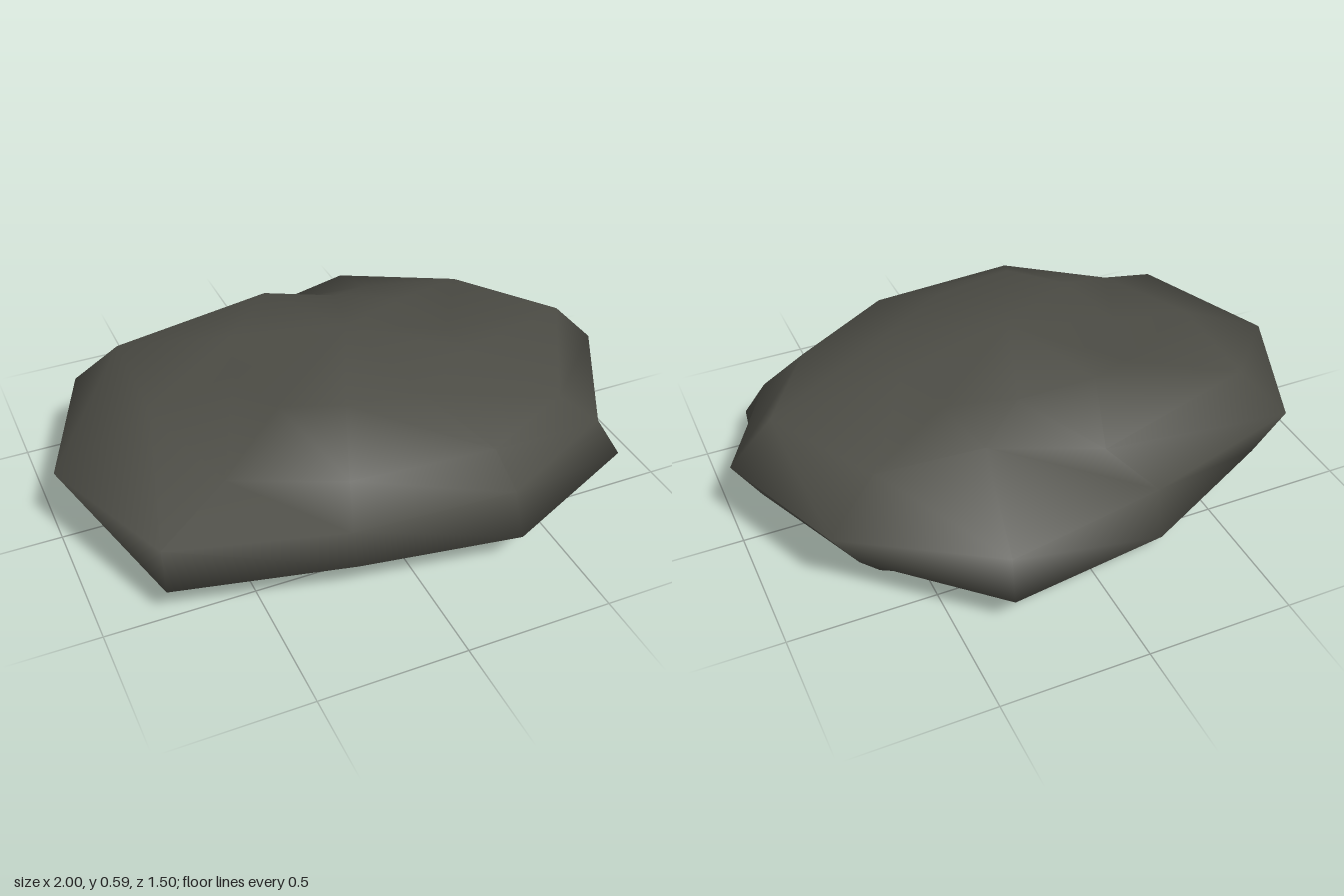
import * as THREE from 'three';

const stone = new THREE.MeshStandardMaterial({ color: 0x4c4c45 });
stone.name = 'darkStone';

// Widest outline of the boulder seen from above, anticlockwise: [x, z]
const outline = [
  [1, 0.03], [0.81, -0.43], [0.34, -0.735], [-0.23, -0.62], [-0.8, -0.46],
  [-1, 0.03], [-0.8, 0.52], [-0.24, 0.675], [0.31, 0.705], [0.79, 0.48],
];

// Rings from top to bottom: height, scale in x and z, shift in x
const rings = [
  { y: 0.495, sx: 0.4, sz: 0.45, dx: 0.02 },
  { y: 0.45, sx: 0.77, sz: 0.82, dx: 0.08 },
  { y: 0.295, sx: 1, sz: 1, dx: 0 },
  { y: 0.15, sx: 0.91, sz: 1, dx: 0 },
  { y: 0.015, sx: 0.74, sz: 0.75, dx: 0.02 },
];

// Local dents and bulges, keyed by 'ring,side': [x, y, z]
const dents = {
  '0,0': [0.4, 0.485, 0.03],
  '0,2': [0.12, 0.512, -0.28],
  '0,3': [-0.13, 0.555, -0.33],
  '0,6': [-0.32, 0.52, 0.27],
  '0,7': [-0.14, 0.55, 0.39],
  '0,8': [0.13, 0.52, 0.39],
  '0,9': [0.39, 0.52, 0.22],
  '1,1': [0.63, 0.425, -0.34],
  '1,2': [0.28, 0.45, -0.39],
  '1,3': [-0.09, 0.4, -0.495],
  '1,4': [-0.66, 0.45, -0.37],
  '1,5': [-0.67, 0.45, 0.03],
  '1,6': [-0.55, 0.405, 0.41],
  '1,7': [-0.22, 0.435, 0.6],
  '1,8': [0.28, 0.405, 0.61],
  '1,9': [0.63, 0.385, 0.42],
  '2,3': [-0.23, 0.27, -0.61],
  '2,9': [0.77, 0.27, 0.46],
  '3,1': [0.72, 0.15, -0.41],
  '3,2': [0.34, 0.135, -0.755],
  '3,3': [-0.24, 0.08, -0.63],
  '3,4': [-0.71, 0.13, -0.42],
  '3,6': [-0.795, 0.13, 0.525],
  '3,8': [0.32, 0.14, 0.75],
  '3,9': [0.84, 0.14, 0.505],
  '4,1': [0.63, 0, -0.32],
  '4,2': [0.26, 0.01, -0.54],
  '4,3': [-0.2, 0.015, -0.52],
  '4,4': [-0.62, 0, -0.34],
  '4,6': [-0.63, 0, 0.4],
  '4,7': [-0.18, 0.035, 0.53],
  '4,8': [0.24, 0.04, 0.54],
  '4,9': [0.63, 0, 0.4],
};

function boulderGeometry() {
  const n = outline.length;
  const pos = [0.02, 0.59, 0.03]; // top point
  rings.forEach(({ y, sx, sz, dx }, r) => {
    outline.forEach(([x, z], i) => pos.push(...(dents[`${r},${i}`] ?? [x * sx + dx, y, z * sz])));
  });
  pos.push(0.02, 0, 0.03); // bottom point

  const at = (r, i) => 1 + r * n + (i % n);
  const last = rings.length - 1;
  const bottom = 1 + rings.length * n;
  const index = [];
  for (let i = 0; i < n; i++) {
    index.push(0, at(0, i), at(0, i + 1));
    for (let r = 0; r < last; r++) {
      const a = at(r, i), b = at(r, i + 1), c = at(r + 1, i), d = at(r + 1, i + 1);
      index.push(a, c, d, a, d, b);
    }
    index.push(bottom, at(last, i + 1), at(last, i));
  }

  const geometry = new THREE.BufferGeometry();
  geometry.setAttribute('position', new THREE.Float32BufferAttribute(pos, 3));
  geometry.setIndex(index);
  geometry.computeVertexNormals();
  return geometry;
}

export function createModel() {
  const group = new THREE.Group();
  group.name = 'rock';
  const boulder = new THREE.Mesh(boulderGeometry(), stone);
  boulder.name = 'boulder';
  group.add(boulder);
  return group;
}
